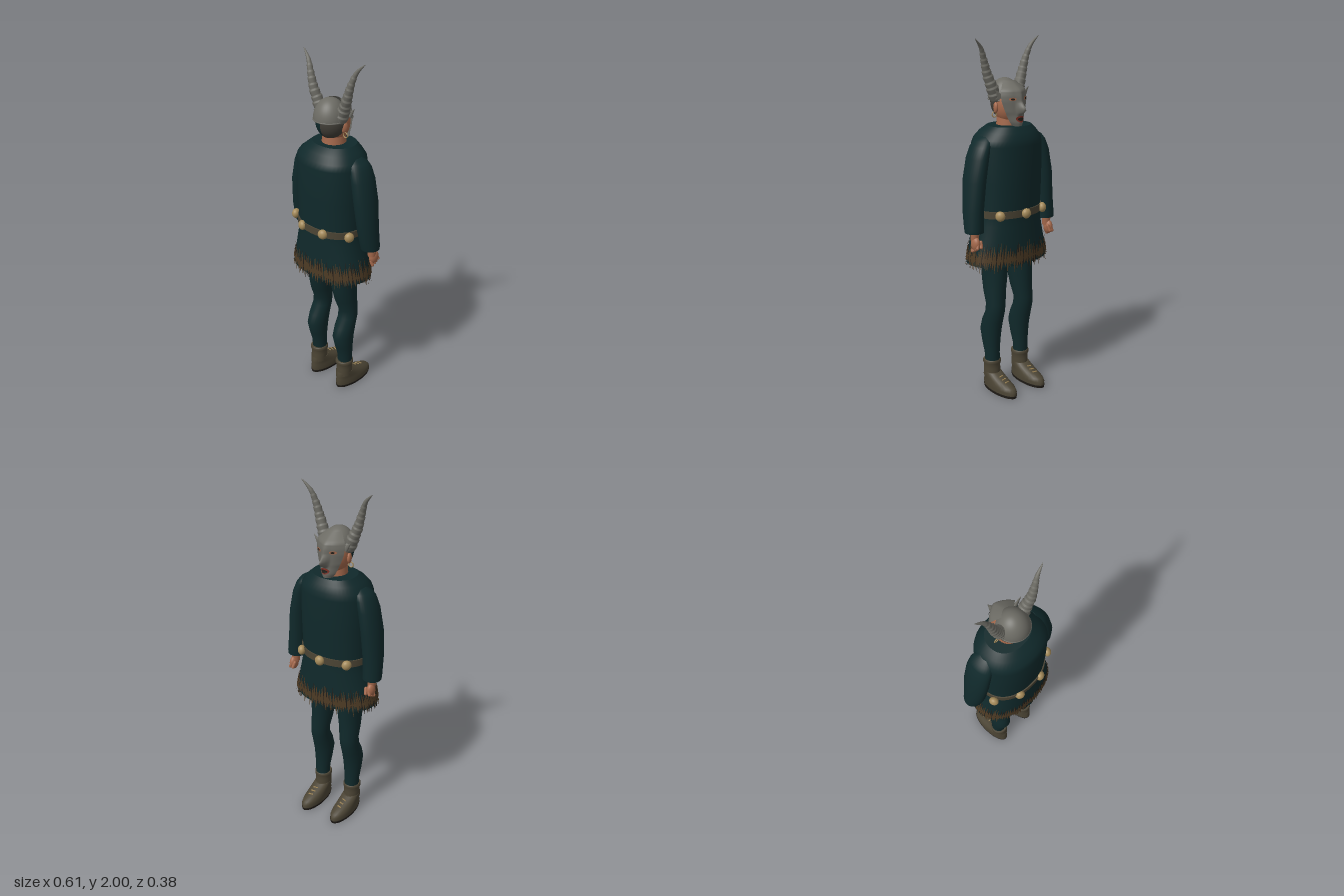
import * as THREE from 'three';

const mat = (name, color, open) => {
  const m = new THREE.MeshStandardMaterial({ color });
  m.name = name;
  if (open) m.side = THREE.DoubleSide;
  return m;
};

function buildGeometry(pos, idx) {
  const g = new THREE.BufferGeometry();
  g.setAttribute('position', new THREE.Float32BufferAttribute(pos, 3));
  g.setIndex(idx);
  g.computeVertexNormals();
  return g;
}

// closed body through rounded sections [y, centreX, centreZ, radiusX, radiusZ], bottom to top
function ringPoint([y, cx, cz, rx, rz], a, e) {
  const c = Math.cos(a), s = Math.sin(a);
  return [cx + rx * Math.sign(c) * Math.abs(c) ** e, y, cz + rz * Math.sign(s) * Math.abs(s) ** e];
}
function loft(rows, n = 28, e = 1) {
  const pos = [], idx = [];
  const ring = r => { for (let j = 0; j < n; j++) pos.push(...ringPoint(r, j / n * Math.PI * 2, e)); };
  rows.forEach(ring);
  for (let i = 0; i < rows.length - 1; i++) for (let j = 0; j < n; j++) {
    const a = i * n + j, b = i * n + (j + 1) % n;
    idx.push(a, a + n, b, b, a + n, b + n);
  }
  [rows[0], rows[rows.length - 1]].forEach((r, k) => {
    const o = pos.length / 3;
    ring(r);
    pos.push(r[1], r[0], r[2]);
    for (let j = 0; j < n; j++) {
      const a = o + j, b = o + (j + 1) % n;
      idx.push(o + n, k ? b : a, k ? a : b);
    }
  });
  return buildGeometry(pos, idx);
}

// table lookup with linear blending, first column is the key
function lookup(table, y) {
  let i = 0;
  while (i < table.length - 2 && y > table[i + 1][0]) i++;
  const a = table[i], b = table[i + 1], t = THREE.MathUtils.clamp((y - a[0]) / (b[0] - a[0]), 0, 1);
  return a.map((v, k) => v + (b[k] - v) * t);
}

const TUNIC = [
  [0.78, 0, 0.015, 0.25, 0.16], [0.9, 0, 0.015, 0.225, 0.158], [1.0, 0, 0.015, 0.203, 0.154],
  [1.07, 0, 0.015, 0.198, 0.153], [1.25, 0, 0.015, 0.2, 0.164], [1.44, 0, 0.015, 0.2, 0.165],
  [1.475, 0, 0.01, 0.19, 0.157], [1.51, 0, 0.005, 0.16, 0.135], [1.54, 0, -0.005, 0.125, 0.105]];
const ROUND = 0.9;

// mask rows: y, half width, edge z, face z, nose z
const MASK = [
  [1.535, 0.028, -0.075, -0.1, -0.1], [1.56, 0.045, -0.07, -0.105, -0.105], [1.595, 0.06, -0.06, -0.1, -0.1],
  [1.615, 0.068, -0.06, -0.1, -0.135], [1.635, 0.075, -0.055, -0.1, -0.152], [1.67, 0.085, -0.05, -0.1, -0.115],
  [1.7, 0.088, -0.045, -0.1, -0.11], [1.73, 0.083, -0.04, -0.095, -0.1], [1.775, 0.04, -0.005, -0.03, -0.03]];
function maskPoint(u, y, off = 0) {
  const [, w, edge, face, nose] = lookup(MASK, y);
  return [w * u, y, edge + (face - edge) * (1 - u * u) + (nose - face) * Math.max(0, 1 - Math.abs(u) / 0.35) - off];
}
function maskShell() {
  const pos = [], idx = [], nu = 24, nv = 30;
  for (let i = 0; i <= nv; i++) for (let j = 0; j <= nu; j++) pos.push(...maskPoint(j / nu * 2 - 1, 1.535 + 0.24 * i / nv));
  for (let i = 0; i < nv; i++) for (let j = 0; j < nu; j++) {
    const a = i * (nu + 1) + j, b = a + nu + 1;
    idx.push(a, b, a + 1, a + 1, b, b + 1);
  }
  return buildGeometry(pos, idx);
}
// thin oval lying on the mask
function maskPatch(u, y, ru, ry, off) {
  const pos = [...maskPoint(u, y, off)], idx = [], n = 18;
  for (let j = 0; j < n; j++) {
    const a = j / n * Math.PI * 2;
    pos.push(...maskPoint(u + ru * Math.cos(a), y + ry * Math.sin(a), off));
    idx.push(0, 1 + (j + 1) % n, 1 + j);
  }
  return buildGeometry(pos, idx);
}

// ridged, tapering horn
function horn(s) {
  const curve = new THREE.CatmullRomCurve3([[0.068, 1.68, 0.02], [0.095, 1.745, 0.022], [0.12, 1.81, 0.028],
    [0.145, 1.89, 0.025], [0.17, 1.95, 0.015], [0.216, 2.0, 0.003]].map(p => new THREE.Vector3(p[0] * s, p[1], p[2])));
  const N = 72, R = 14, g = new THREE.TubeGeometry(curve, N, 1, R), p = g.attributes.position, v = new THREE.Vector3();
  for (let i = 0; i <= N; i++) {
    const t = i / N, c = curve.getPointAt(t), saw = t < 0.8 ? (t * 11) % 1 : 0.5;
    const r = 0.036 * (1 - t) ** 0.75 * (0.9 + 0.2 * saw) + 0.0005;
    for (let j = 0; j <= R; j++) {
      const k = i * (R + 1) + j;
      v.fromBufferAttribute(p, k).sub(c).multiplyScalar(r).add(c);
      p.setXYZ(k, v.x, v.y, v.z);
    }
  }
  g.computeVertexNormals();
  return g;
}

// hanging ragged strips around the hem
function fringe(seed, count, off) {
  let s = seed;
  const rnd = () => (s = (s * 16807) % 2147483647) / 2147483647;
  const pos = [], idx = [];
  for (let i = 0; i < count; i++) {
    const a = (i + rnd() * 0.5) / count * Math.PI * 2, da = Math.PI * 1.1 / count;
    const at = (y, d) => {
      const r = lookup(TUNIC, y);
      pos.push(...ringPoint([y, r[1], r[2], r[3] + off, r[4] + off], a + d, ROUND));
    };
    const o = pos.length / 3;
    at(0.86 + rnd() * 0.07, 0); at(0.82, -da); at(0.82, da); at(0.745 + rnd() * 0.05, (rnd() - 0.5) * da);
    idx.push(o, o + 2, o + 1, o + 1, o + 2, o + 3);
  }
  return buildGeometry(pos, idx);
}

export function createModel() {
  const cloth = mat('darkTealCloth', 0x10292b), grey = mat('greyMetal', 0x6c6b64, true);
  const skin = mat('skin', 0xa5694c), leather = mat('brownLeather', 0x4b4434), sole = mat('darkSole', 0x211d18, true);
  const gold = mat('paleGold', 0xa48a5a), fur = mat('brownFringe', 0x4c3a24, true), hair = mat('greyHair', 0x423f38);
  const red = mat('redMouth', 0x7a2f24, true);
  const model = new THREE.Group();
  const add = (name, geo, m, pos = [0, 0, 0], scale = [1, 1, 1], rot = [0, 0, 0]) => {
    const mesh = new THREE.Mesh(geo, m);
    mesh.name = name;
    mesh.position.set(...pos); mesh.scale.set(...scale); mesh.rotation.set(...rot);
    model.add(mesh);
  };
  const ball = new THREE.SphereGeometry(1, 28, 20);

  // tunic, hem and belt
  add('tunic', loft(TUNIC, 48, ROUND), cloth);
  add('hemFringeDark', fringe(7, 110, 0.003), sole);
  add('hemFringe', fringe(31, 100, 0.007), fur);
  add('belt', loft([1.05, 1.09].map(y => [y, 0, 0.015, 0.205, 0.161]), 48, ROUND), leather);
  [[0, -0.155], [0.15, -0.115], [-0.15, -0.115], [0.205, 0.095], [-0.205, 0.095], [0.078, 0.168], [-0.078, 0.168]]
    .forEach(([x, z]) => add('beltMedallion', ball, gold, [x, 1.07, z], [0.027, 0.028, 0.022], [0, Math.atan2(x, z), 0]));

  // head
  add('neck', new THREE.CylinderGeometry(0.06, 0.068, 0.1, 24), skin, [0, 1.56, 0]);
  add('head', ball, skin, [0, 1.645, -0.005], [0.08, 0.105, 0.085]);
  const halfBall = start => new THREE.SphereGeometry(1, 20, 20, start, Math.PI / 2);
  add('hairLeft', halfBall(Math.PI / 2), hair, [0, 1.66, 0.015], [0.086, 0.1, 0.09]);
  add('hairRight', halfBall(0), cloth, [0, 1.66, 0.015], [0.086, 0.1, 0.09]);
  add('helmet', new THREE.SphereGeometry(1, 36, 16, 0, Math.PI * 2, 0, Math.PI / 2), grey, [0, 1.672, 0.03], [0.088, 0.115, 0.09]);
  add('helmetRim', new THREE.TorusGeometry(0.088, 0.004, 8, 36), grey, [0, 1.673, 0.03], [1, 1, 1], [Math.PI / 2, 0, 0]);
  add('mask', maskShell(), grey);
  add('mouthLips', maskPatch(0, 1.578, 0.5, 0.017, 0.003), red);
  add('mouthOpening', maskPatch(0, 1.578, 0.36, 0.009, 0.006), sole);

  for (const s of [1, -1]) {
    add('horn', horn(s), grey);
    add('hornBase', ball, grey, [0.07 * s, 1.69, 0.02], [0.032, 0.035, 0.038]);
    add('maskEar', new THREE.ConeGeometry(0.018, 0.06, 10), grey, [0.098 * s, 1.715, -0.032], [1, 1, 0.5], [0, 0, -0.7 * s]);
    add('eyeHole', maskPatch(0.5 * s, 1.685, 0.2, 0.009, 0.003), skin);
    add('eye', maskPatch(0.5 * s, 1.685, 0.1, 0.006, 0.005), sole);
    add('ear', ball, skin, [0.082 * s, 1.635, 0.005], [0.012, 0.03, 0.02], [0, -0.3 * s, 0]);
    add('earring', new THREE.TorusGeometry(0.014, 0.003, 8, 20), gold, [0.09 * s, 1.598, 0.008]);

    // sleeve and hand
    add('sleeve', loft([[0.98, 0.253, -0.02, 0.052, 0.052], [1.0, 0.254, -0.018, 0.052, 0.056],
      [1.1, 0.248, -0.005, 0.053, 0.066], [1.26, 0.234, 0, 0.054, 0.078], [1.38, 0.212, 0, 0.05, 0.078],
      [1.44, 0.192, 0, 0.045, 0.072], [1.47, 0.175, 0, 0.04, 0.06], [1.49, 0.16, 0, 0.02, 0.035]]
      .map(([y, x, ...r]) => [y, x * s, ...r])), cloth);
    add('wrist', new THREE.CylinderGeometry(0.026, 0.022, 0.07, 18), skin, [0.258 * s, 0.965, -0.03]);
    add('palm', ball, skin, [0.262 * s, 0.92, -0.042], [0.022, 0.04, 0.032]);
    for (let i = 0; i < 4; i++)
      add('finger', new THREE.CapsuleGeometry(0.009, 0.022, 4, 10), skin,
        [0.266 * s, 0.888 + i * 0.008, -0.022 - i * 0.015], [1, 1, 1], [0.2, 0, 0.35 * s]);
    add('thumb', new THREE.CapsuleGeometry(0.009, 0.03, 4, 10), skin, [0.245 * s, 0.918, -0.068], [1, 1, 1], [0.4, 0, 0.2 * s]);

    // leg, boot and sole
    const limb = rows => loft(rows.map(([y, x, ...r]) => [y, x * s, ...r]));
    add('leg', limb([[0.15, 0.105, 0.015, 0.042, 0.043], [0.22, 0.106, 0.017, 0.043, 0.044], [0.29, 0.105, 0.026, 0.05, 0.056],
      [0.36, 0.104, 0.03, 0.055, 0.069], [0.42, 0.104, 0.015, 0.055, 0.067], [0.48, 0.103, -0.008, 0.054, 0.058],
      [0.53, 0.101, -0.012, 0.055, 0.057], [0.6, 0.097, 0.003, 0.06, 0.069], [0.68, 0.092, 0.01, 0.066, 0.08],
      [0.76, 0.089, 0.012, 0.071, 0.086], [0.86, 0.087, 0.012, 0.08, 0.09]]), cloth);
    add('bootCuff', limb([[0.08, 0.105, 0.02, 0.047, 0.053], [0.13, 0.105, 0.02, 0.046, 0.049], [0.155, 0.105, 0.02, 0.047, 0.048],
      [0.16, 0.105, 0.02, 0.051, 0.053], [0.175, 0.105, 0.02, 0.051, 0.053], [0.18, 0.105, 0.02, 0.046, 0.049]]), leather);
    add('shoe', limb([[0.012, 0.105, -0.055, 0.052, 0.133], [0.035, 0.105, -0.054, 0.054, 0.135], [0.052, 0.105, -0.048, 0.052, 0.126],
      [0.07, 0.105, -0.024, 0.05, 0.102], [0.088, 0.105, 0.0, 0.049, 0.076], [0.105, 0.105, 0.016, 0.047, 0.055]]), leather);
    add('sole', limb([[0, 0.105, -0.055, 0.052, 0.133], [0.015, 0.105, -0.055, 0.055, 0.137]]), sole);
    for (let i = 0; i < 3; i++)
      add('lace', new THREE.BoxGeometry(0.028, 0.005, 0.005), gold, [0.105 * s, 0.075 + i * 0.009, -0.115 + i * 0.025], [1, 1, 1], [0, 0.2 * s, 0]);
  }
  return model;
}
